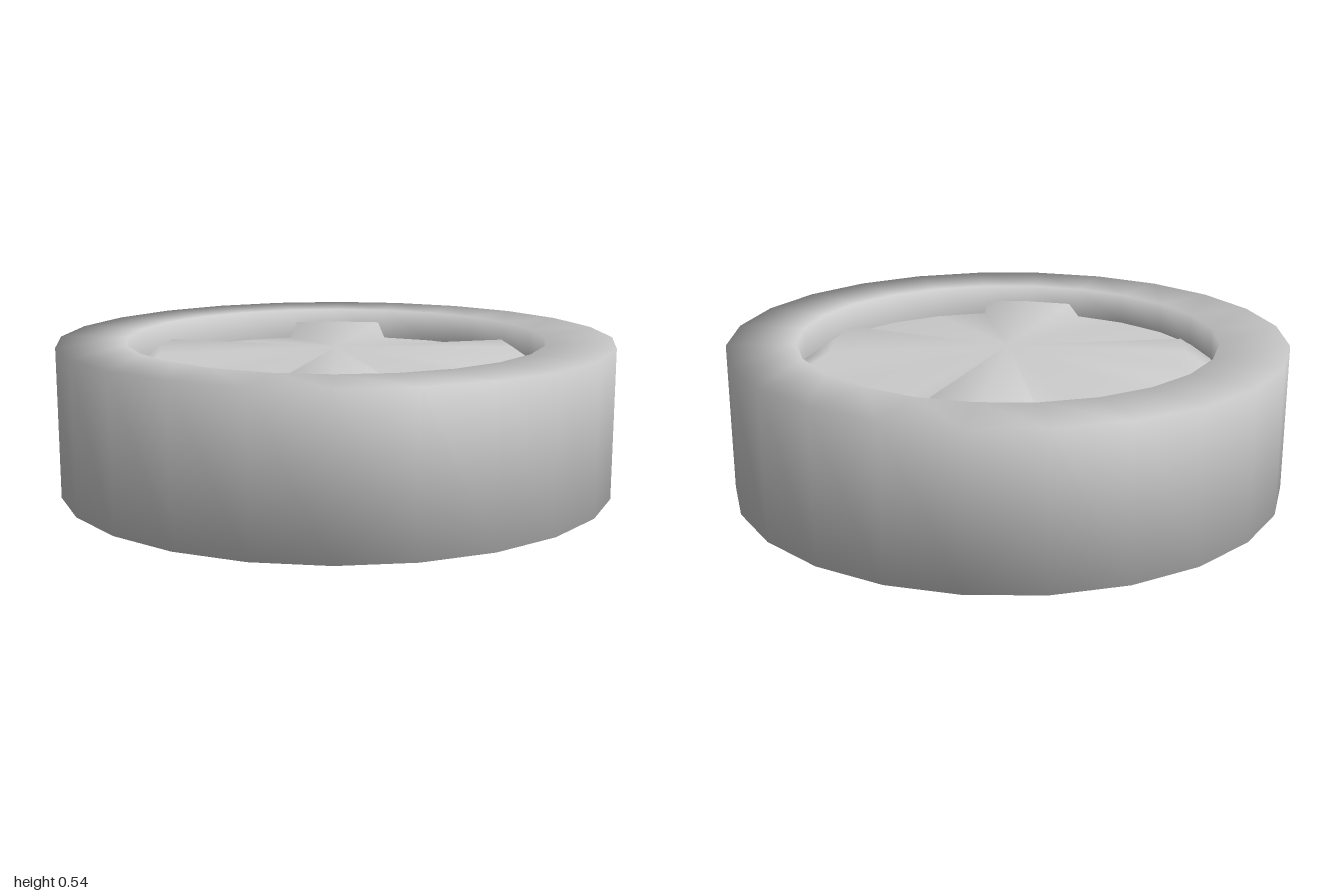
import * as THREE from 'three';

const SIDES = 24, HEIGHT = 0.535, RIM = 0.755, FLOOR = 0.42, FACE = 0.5, SPOKE = 0.64;

// Wheel face: a shallow cone with four raised wedge spokes, sharing vertices for smooth normals
function faceGeometry() {
  const pos = [], index = [];
  const add = (step, r, y) => {
    const a = (step / SIDES) * Math.PI * 2;
    pos.push(r * Math.cos(a), y, r * Math.sin(a));
    return pos.length / 3 - 1;
  };
  const centre = add(0, 0, FACE);
  const edge = [];
  for (let i = 0; i < SIDES; i++) edge.push(add(i, RIM, FLOOR));
  const rim = (i) => edge[(i + SIDES) % SIDES];

  for (let k = 0; k < 4; k++) {
    const mid = k * 6;
    // spoke top and its sloped outer end
    const top = [-1, 0, 1].map((d) => add(mid + d, SPOKE, FACE));
    for (let j = 0; j < 2; j++) {
      const b0 = rim(mid - 1 + j), b1 = rim(mid + j);
      index.push(centre, top[j + 1], top[j]);
      index.push(top[j], top[j + 1], b1, top[j], b1, b0);
    }
    // spoke side walls
    index.push(centre, top[0], rim(mid - 1));
    index.push(centre, rim(mid + 1), top[2]);
    // recessed panel up to the next spoke
    for (let i = mid + 1; i < mid + 5; i++) index.push(centre, rim(i + 1), rim(i));
  }
  const geo = new THREE.BufferGeometry();
  geo.setAttribute('position', new THREE.Float32BufferAttribute(pos, 3));
  geo.setIndex(index);
  geo.computeVertexNormals();
  return geo;
}

export function createModel() {
  const group = new THREE.Group();
  group.name = 'wheel';
  const material = new THREE.MeshStandardMaterial({ color: 0xcccccc });

  // Tyre: tread, both sidewalls and the inner lips
  const profile = [
    [RIM, HEIGHT - FLOOR], [RIM, 0], [1, 0],
    [1, HEIGHT], [RIM, HEIGHT], [RIM, FLOOR],
  ].map(([r, y]) => new THREE.Vector2(r, y));
  const tyre = new THREE.Mesh(new THREE.LatheGeometry(profile, SIDES), material);
  tyre.name = 'tyre';
  group.add(tyre);

  // Same spoked face on both sides
  const geo = faceGeometry();
  const upper = new THREE.Mesh(geo, material);
  upper.name = 'upperSpokes';
  const lower = new THREE.Mesh(geo, material);
  lower.name = 'lowerSpokes';
  lower.rotation.x = Math.PI;
  lower.position.y = HEIGHT;
  group.add(upper, lower);
  return group;
}
